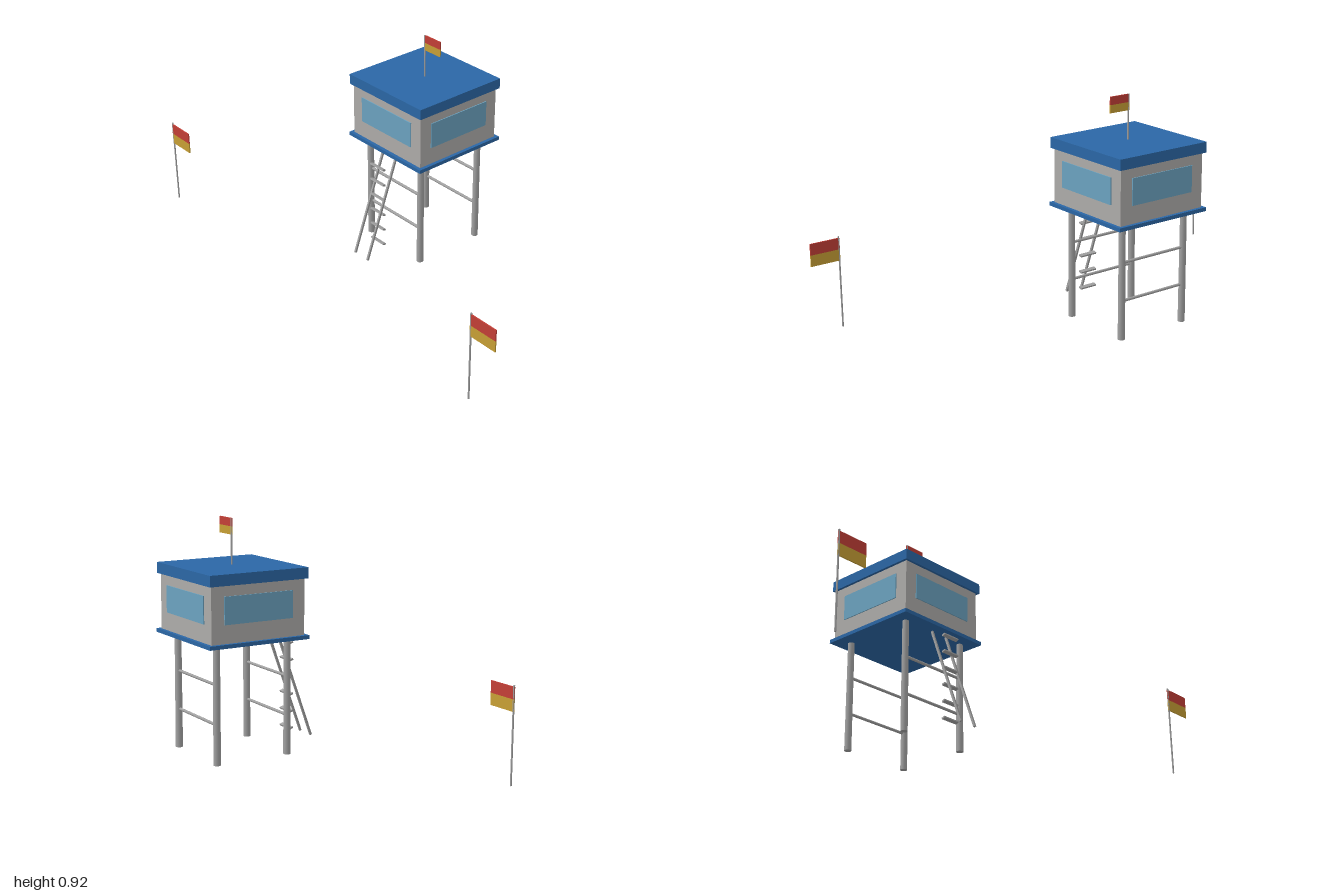
import * as THREE from 'three';

const material = (name, color) => Object.assign(new THREE.MeshStandardMaterial({ color }), { name });

export function createModel() {
  const blue = material('blue trim', 0x2b67a6);
  const wall = material('wall grey', 0xaeacaa);
  const glass = material('window blue', 0x6ca3c0);
  const metal = material('metal grey', 0xa3a3a3);
  const red = material('flag red', 0xc43f37);
  const yellow = material('flag yellow', 0xc8a035);

  const model = new THREE.Group();
  model.name = 'watchtower';

  const add = (parent, name, geometry, mat, x, y, z) => {
    const mesh = new THREE.Mesh(geometry, mat);
    mesh.name = name;
    mesh.position.set(x, y, z);
    parent.add(mesh);
    return mesh;
  };
  const box = (parent, name, mat, w, h, d, x, y, z) =>
    add(parent, name, new THREE.BoxGeometry(w, h, d), mat, x, y, z);

  // Tower, centred on its own axis
  const tower = new THREE.Group();
  tower.name = 'tower';
  tower.position.set(-0.063, 0, -0.204);
  model.add(tower);

  // Cabin between floor slab and roof slab
  box(tower, 'floor', blue, 0.435, 0.015, 0.435, 0, 0.4695, 0);
  box(tower, 'cabin', wall, 0.406, 0.22, 0.406, 0, 0.587, 0);
  box(tower, 'roof', blue, 0.428, 0.043, 0.428, 0, 0.7185, 0);

  // One window plate per wall
  for (let i = 0; i < 4; i++) {
    const a = (i * Math.PI) / 2;
    const pane = box(tower, 'window', glass, 0.297, 0.107, 0.009,
      Math.sin(a) * 0.2025, 0.6025, Math.cos(a) * 0.2025);
    pane.rotation.y = a;
  }

  // Legs, with cross bars along the front and back
  for (const z of [-0.156, 0.156]) {
    for (const x of [-0.155, 0.155]) {
      add(tower, 'leg', new THREE.CylinderGeometry(0.0135, 0.0145, 0.462, 12), metal, x, 0.231, z);
    }
    for (const y of [0.157, 0.312]) {
      const bar = add(tower, 'crossBar', new THREE.CylinderGeometry(0.006, 0.006, 0.31, 8), metal, 0, y, z);
      bar.rotation.z = Math.PI / 2;
    }
  }

  // Leaning ladder
  const ladder = new THREE.Group();
  ladder.name = 'ladder';
  ladder.position.set(-0.063, 0, 0);
  model.add(ladder);
  const lean = -0.349;
  for (const x of [-0.039, 0.039]) {
    box(ladder, 'rail', metal, 0.008, 0.448, 0.009, x, 0.235, 0.061).rotation.x = lean;
  }
  for (let i = 0; i < 6; i++) {
    box(ladder, 'rung', metal, 0.078, 0.007, 0.015, 0, 0.064 + i * 0.07, 0.046).rotation.x = lean;
  }

  // Flag: pole with two stacked stripes flying towards +x
  const flag = (name, x, y, z, poleHeight, radius, width, height, drop) => {
    const group = new THREE.Group();
    group.name = name;
    group.position.set(x, y, z);
    model.add(group);
    add(group, 'pole', new THREE.CylinderGeometry(radius, radius, poleHeight, 8), metal, 0, poleHeight / 2, 0);
    const top = poleHeight - drop;
    box(group, 'redStripe', red, width, height / 2, 0.005, width / 2 - 0.003, top - height / 4, 0);
    box(group, 'yellowStripe', yellow, width, height / 2, 0.005, width / 2 - 0.003, top - height * 0.75, 0);
  };
  flag('roofFlag', -0.063, 0.74, -0.204, 0.18, 0.0035, 0.093, 0.064, 0);
  flag('rightFlag', -0.997, 0, 0.42, 0.374, 0.0035, 0.126, 0.092, 0.006);
  flag('leftFlag', 0.874, 0, 0.42, 0.374, 0.0035, 0.126, 0.092, 0.006);

  return model;
}
